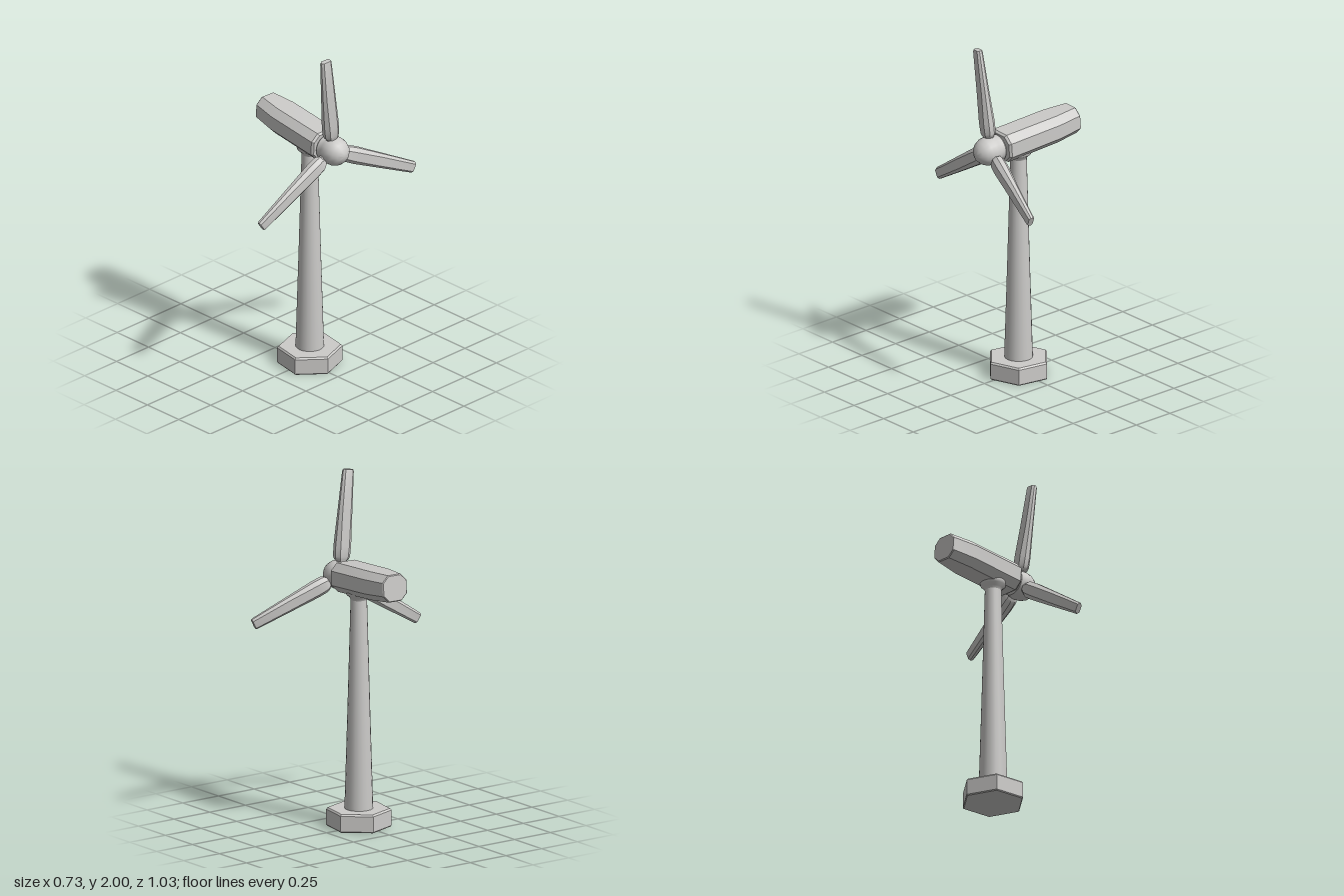
import * as THREE from 'three';
import { toCreasedNormals } from 'three/addons/utils/BufferGeometryUtils.js';

const V = (x, y, z) => new THREE.Vector3(x, y, z);
const paint = new THREE.MeshStandardMaterial({ name: 'light grey', color: 0xcccbc9 });

function part(name, geometry) {
  const mesh = new THREE.Mesh(geometry, paint);
  mesh.name = name;
  return mesh;
}

function lathe(profile, sides, start, crease) {
  const points = profile.map(([r, y]) => new THREE.Vector2(r, y));
  return toCreasedNormals(new THREE.LatheGeometry(points, sides, start), crease);
}

// Lofts chamfered rectangles along a line; sections are [t, half width, half height]
function loft(from, to, upHint, sections, chamfer, crease) {
  const axis = to.clone().sub(from).normalize();
  const side = upHint.clone().cross(axis).normalize();
  const up = axis.clone().cross(side);
  const rings = sections.map(([t, w, h]) => {
    const c = chamfer * Math.min(w, h);
    const outline = [
      [w, c - h], [w, h - c], [w - c, h], [c - w, h],
      [-w, h - c], [-w, c - h], [c - w, -h], [w - c, -h],
    ];
    const centre = from.clone().lerp(to, t);
    return outline.map(([a, b]) =>
      centre.clone().addScaledVector(side, a).addScaledVector(up, b));
  });
  const points = [];
  const n = 8;
  for (let i = 0; i < rings.length - 1; i++) {
    for (let j = 0; j < n; j++) {
      const k = (j + 1) % n;
      const a = rings[i], b = rings[i + 1];
      points.push(a[j], a[k], b[k], a[j], b[k], b[j]);
    }
  }
  const first = rings[0], last = rings[rings.length - 1];
  for (let j = 1; j < n - 1; j++) {
    points.push(first[0], first[j + 1], first[j], last[0], last[j], last[j + 1]);
  }
  return toCreasedNormals(new THREE.BufferGeometry().setFromPoints(points), crease);
}

export function createModel() {
  const model = new THREE.Group();
  model.name = 'windTurbine';

  // Hexagonal foundation with softened rims
  const base = part('base', lathe(
    [[0, 0], [0.178, 0], [0.183, 0.006], [0.183, 0.095], [0.174, 0.105], [0, 0.105]],
    6, 0.335, 0.5));

  // Tapered tower flaring into the yaw collar
  const tower = part('tower', lathe(
    [[0.08, 0.09], [0.08, 0.12], [0.063, 0.7], [0.046, 1.315]], 20, 0, 0.8));
  const collar = part('yawCollar', lathe(
    [[0.046, 1.31], [0.052, 1.325], [0.07, 1.34], [0.074, 1.355], [0.074, 1.38]], 20, 0, 0.8));
  for (const mesh of [base, tower, collar]) {
    mesh.position.set(0.01, 0, -0.016);
    model.add(mesh);
  }

  // Chamfered housing, narrowing to the rear
  const rear = V(-0.364, 1.458, -0.045), front = V(0.147, 1.418, -0.01);
  model.add(part('nacelle', loft(rear, front, V(0, 1, 0), [
    [0, 0.076, 0.072], [0.01, 0.08, 0.077], [0.3, 0.1, 0.081],
    [0.975, 0.1, 0.083], [1, 0.09, 0.074],
  ], 0.5, 0.5)));

  // Rounded hub on a short shaft
  const hub = part('hub', lathe([
    [0, -0.03], [0.055, -0.03], [0.055, 0], [0.073, 0.003], [0.078, 0.01],
    [0.075, 0.024], [0.08, 0.045], [0.083, 0.07], [0.079, 0.1],
    [0.066, 0.128], [0.045, 0.149], [0.02, 0.161], [0, 0.164],
  ], 20, 0, 0.8));
  hub.position.set(0.147, 1.412, -0.005);
  hub.quaternion.setFromUnitVectors(V(0, 1, 0), V(1, -0.06, 0.05).normalize());
  model.add(hub);

  // Three blades: thin neck, broad shoulder, tapering to a blunt tip
  const rotor = new THREE.Group();
  rotor.name = 'rotor';
  const centre = V(0.205, 1.405, 0);
  const tips = [V(0.232, 2, 0.077), V(0.15, 1.088, 0.503), V(0.345, 1.172, -0.5)];
  tips.forEach((tip, i) => {
    rotor.add(part('blade' + (i + 1), loft(centre, tip, V(0.98, 0, 0.19), [
      [0.08, 0.032, 0.03], [0.135, 0.029, 0.026], [0.155, 0.04, 0.031],
      [0.18, 0.046, 0.035], [0.28, 0.048, 0.036], [0.58, 0.042, 0.026],
      [0.985, 0.033, 0.018], [1, 0.029, 0.015],
    ], 0.6, 0.7)));
  });
  model.add(rotor);

  return model;
}
